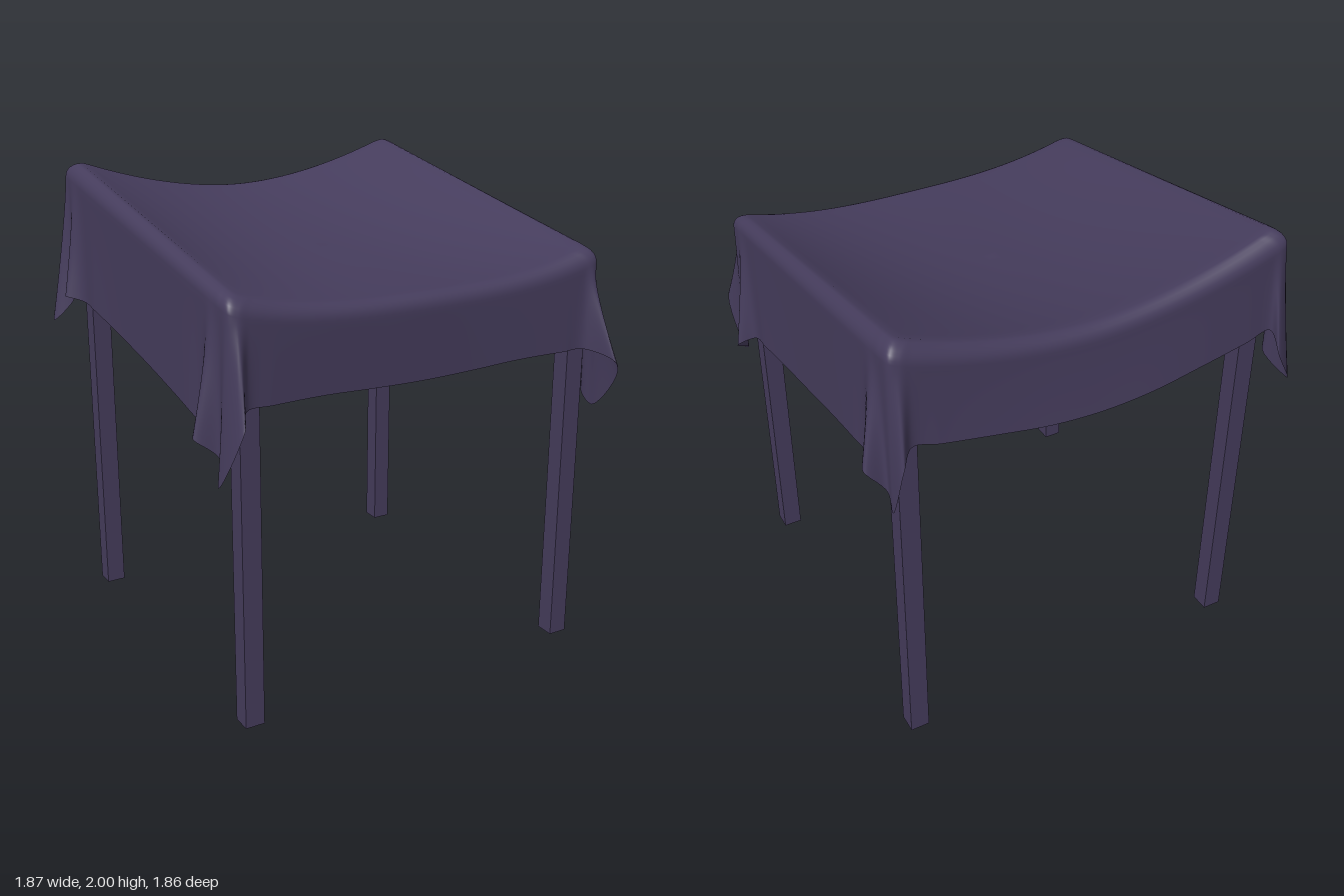
import * as THREE from 'three';

const clothMaterial = new THREE.MeshStandardMaterial({ color: 0x453c5c, side: THREE.DoubleSide });
const postMaterial = new THREE.MeshStandardMaterial({ color: 0x453c5c });

// Height of the taut side edges, and of the sheet sagging between them;
// the sag is shallow and flat at the front, deep and round at the back,
// with a further gentle dip in the middle of the sheet
const sideY = z => 1.87 - 0.173 * z;
const topY = (x, z) => {
  const sag = 0.125 - 0.053 * z;
  const dip = 0.05 * Math.max(0, 1 - (z / 0.77) ** 2);
  const power = 2.4 + 0.7 * z;
  return Math.min(2, sideY(z) - (sag + dip) * Math.max(0, 1 - (Math.abs(x) / 0.79) ** power));
};

// Half the rim of one quarter each: shoulder x, shoulder z, hem x, hem z, drop of the hem
const sideRows = [
  [0.845, 0.00, 0.850, 0.00, 0.55],
  [0.845, 0.25, 0.852, 0.25, 0.55],
  [0.845, 0.48, 0.858, 0.47, 0.55],
  [0.845, 0.60, 0.860, 0.60, 0.56],
];
const endRows = [
  [0.760, 0.802, 0.780, 0.810, 0.41],
  [0.650, 0.802, 0.670, 0.800, 0.41],
  [0.450, 0.800, 0.450, 0.795, 0.41],
  [0.220, 0.798, 0.220, 0.792, 0.42],
  [0.000, 0.798, 0.000, 0.790, 0.425],
];
// Shoulder points round a corner, above its four fold points
const cornerShoulder = [[0.845, 0.67], [0.845, 0.73], [0.837, 0.785], [0.805, 0.80]];

// Corners in order round the rim; lift raises the side hem near the corner,
// folds are hem x, z, y: side ear, tuck, corner, end ear
const corners = [
  { sx: 1, sz: 1, lift: 0.005, folds: [[0.93, 0.645, 1.17], [0.86, 0.715, 1.10], [0.86, 0.79, 1.06], [0.86, 0.93, 1.27]] },
  { sx: -1, sz: 1, lift: 0, folds: [[0.935, 0.67, 1.20], [0.85, 0.715, 1.12], [0.885, 0.77, 1.03], [0.835, 0.90, 1.28]] },
  { sx: -1, sz: -1, lift: 0, folds: [[0.92, 0.69, 1.43], [0.86, 0.745, 1.40], [0.935, 0.83, 1.29], [0.79, 0.925, 1.50]] },
  { sx: 1, sz: -1, lift: 0.02, folds: [[0.93, 0.765, 1.47], [0.85, 0.79, 1.36], [0.86, 0.85, 1.31], [0.835, 0.915, 1.54]] },
];

function rimCurves() {
  const shoulder = [], hem = [];
  for (const { sx, sz, lift, folds } of corners) {
    const points = [];
    const add = (ox, oz, hx, hz, hy) => points.push([
      new THREE.Vector3(sx * ox, 0, sz * oz), new THREE.Vector3(sx * hx, hy, sz * hz)]);
    // The back edge lies a little further out
    const shift = z => (sz < 0 ? 0.04 * z / 0.8 : 0);
    for (const [ox, oz, hx, hz, d] of sideRows)
      add(ox, oz + shift(oz), hx, hz + shift(hz), sideY(sz * hz) - d + lift * hz / 0.6);
    cornerShoulder.forEach(([ox, oz], i) => add(ox, oz + shift(oz), ...folds[i]));
    for (const [ox, oz, hx, hz, d] of endRows) {
      // The back panel hangs lower and billows in the middle
      const middle = sz < 0 ? 1 - (ox / 0.8) ** 2 : 0;
      add(ox, oz + shift(oz) + 0.012 * middle, hx, hz + shift(hz) * 1.2 + 0.045 * middle,
        sideY(sz * oz) - d - 0.1 * middle);
    }
    // Run every quarter the same way round, without repeating its last point
    if (sx * sz < 0) points.reverse();
    for (const [o, h] of points.slice(0, -1)) {
      shoulder.push(o);
      hem.push(h);
    }
  }
  return [shoulder, hem].map(p => new THREE.CatmullRomCurve3(p, true, 'centripetal'));
}

function clothGeometry() {
  const [shoulder, hem] = rimCurves();
  const N = 384, TOP = 20, ROLL = 6, HANG = 16, INSET = 0.93, R = 0.06;
  const rings = TOP + ROLL + HANG;
  const positions = [], index = [];
  for (let r = 0; r <= rings; r++) {
    for (let i = 0; i < N; i++) {
      const o = shoulder.getPoint(i / N), h = hem.getPoint(i / N);
      const edgeY = topY(o.x * INSET, o.z * INSET);
      if (r <= TOP) {
        // sagging sheet
        const s = INSET * r / TOP;
        positions.push(o.x * s, topY(o.x * s, o.z * s), o.z * s);
      } else if (r <= TOP + ROLL) {
        // rounded shoulder
        const a = (r - TOP) / ROLL * Math.PI / 2;
        const s = INSET + (1 - INSET) * Math.sin(a);
        positions.push(o.x * s, edgeY - R * (1 - Math.cos(a)), o.z * s);
      } else {
        // hanging panels, folds opening towards the hem
        const v = (r - TOP - ROLL) / HANG, f = v ** 1.2;
        positions.push(
          THREE.MathUtils.lerp(o.x, h.x, f),
          THREE.MathUtils.lerp(edgeY - R, h.y, v),
          THREE.MathUtils.lerp(o.z, h.z, f));
      }
      if (r < rings) {
        // the rim runs from the left side to the front, so this order faces up and out
        const a = r * N + i, b = r * N + (i + 1) % N;
        if (r > 0) index.push(a, b, a + N);
        index.push(b, b + N, a + N);
      }
    }
  }
  const g = new THREE.BufferGeometry();
  g.setAttribute('position', new THREE.Float32BufferAttribute(positions, 3));
  g.setIndex(index);
  g.computeVertexNormals();
  // Shared straight-up normal at the centre of the sheet
  for (let i = 0; i < N; i++) g.attributes.normal.setXYZ(i, 0, 1, 0);
  return g;
}

export function createModel() {
  const model = new THREE.Group();
  model.name = 'canopy';

  const cloth = new THREE.Mesh(clothGeometry(), clothMaterial);
  cloth.name = 'cloth';
  model.add(cloth);

  // Four square posts, the back pair taller
  for (const sx of [1, -1]) {
    for (const [name, z, height] of [['front', 0.74, 1.37], ['back', -0.727, 1.62]]) {
      const post = new THREE.Mesh(new THREE.BoxGeometry(0.082, height, 0.082), postMaterial);
      post.name = name + (sx > 0 ? 'Left' : 'Right') + 'Post';
      post.position.set(sx * 0.757, height / 2, z);
      model.add(post);
    }
  }
  return model;
}
